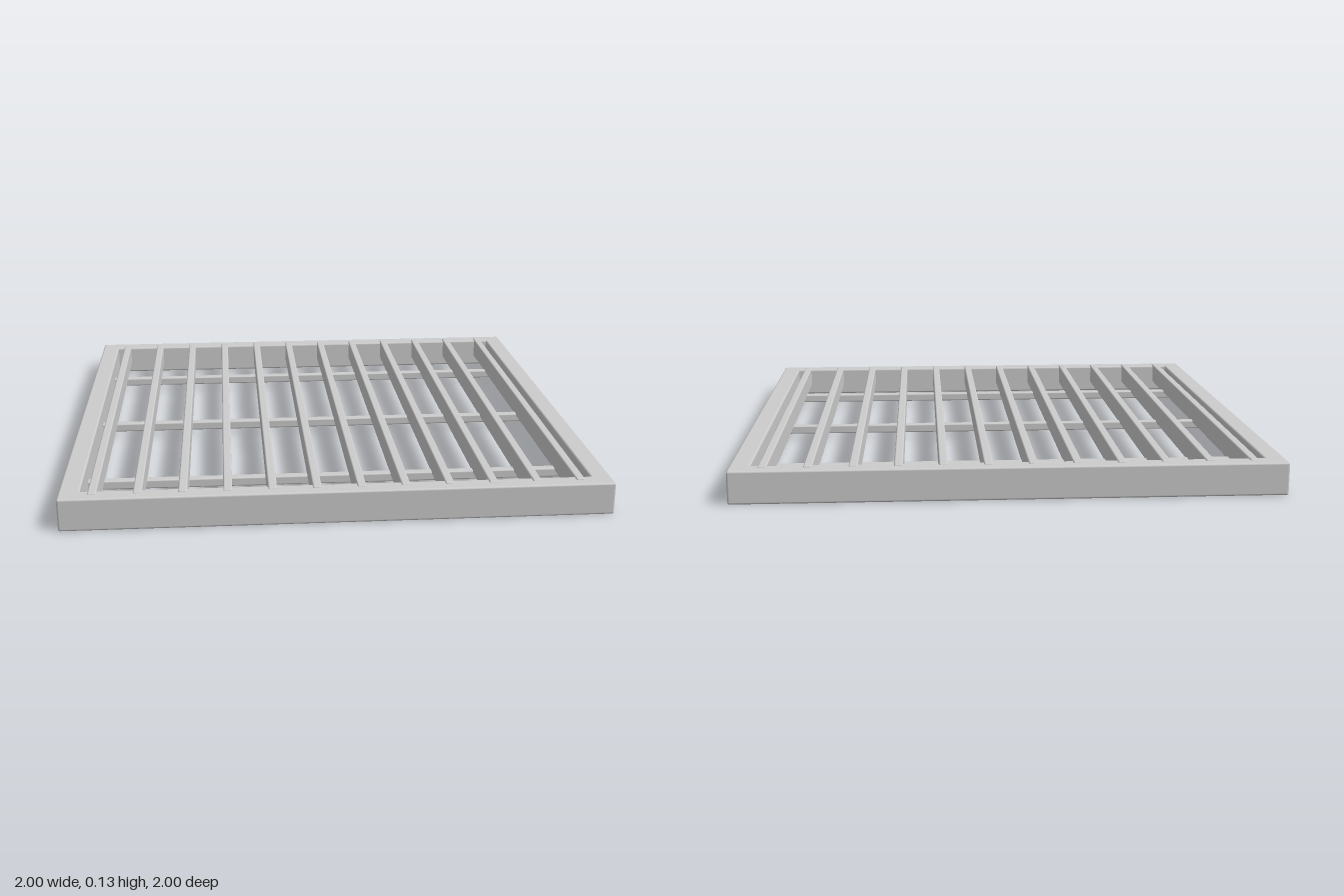
import * as THREE from 'three';
import { RoundedBoxGeometry } from 'three/addons/geometries/RoundedBoxGeometry.js';

const material = new THREE.MeshStandardMaterial({ color: 0xcccccc });

// Softly rounded bar given by its size and centre
function bar(name, [w, h, d], [x, y, z], radius) {
  const mesh = new THREE.Mesh(new RoundedBoxGeometry(w, h, d, 2, radius), material);
  mesh.name = name;
  mesh.position.set(x, y, z);
  return mesh;
}

export function createModel() {
  const model = new THREE.Group();
  model.name = 'floorGrate';

  // Square outer frame
  const frameHeight = 0.122, frameWidth = 0.075;
  const frame = new THREE.Group();
  frame.name = 'frame';
  const offset = 1 - frameWidth / 2;
  for (const side of [-1, 1]) {
    frame.add(
      bar(side > 0 ? 'frontRail' : 'backRail', [2, frameHeight, frameWidth], [0, frameHeight / 2, side * offset], 0.008),
      bar(side > 0 ? 'leftRail' : 'rightRail', [frameWidth, frameHeight, 2], [side * offset, frameHeight / 2, 0], 0.008)
    );
  }
  model.add(frame);

  // Twelve upright slats, just proud of the frame and let into its rails
  const slats = new THREE.Group();
  slats.name = 'slats';
  const slatCount = 12, pitch = 0.16, slatTop = 0.127, slatHeight = 0.085;
  for (let i = 0; i < slatCount; i++) {
    const x = (i - (slatCount - 1) / 2) * pitch;
    slats.add(bar('slat', [0.032, slatHeight, 1.92], [x, slatTop - slatHeight / 2, 0], 0.006));
  }
  model.add(slats);

  // Three cross bars under the slats
  const crossBars = new THREE.Group();
  crossBars.name = 'crossBars';
  for (const z of [-0.65, 0, 0.65]) {
    crossBars.add(bar('crossBar', [1.88, 0.035, 0.035], [0, 0.035, z], 0.006));
  }
  model.add(crossBars);

  return model;
}
